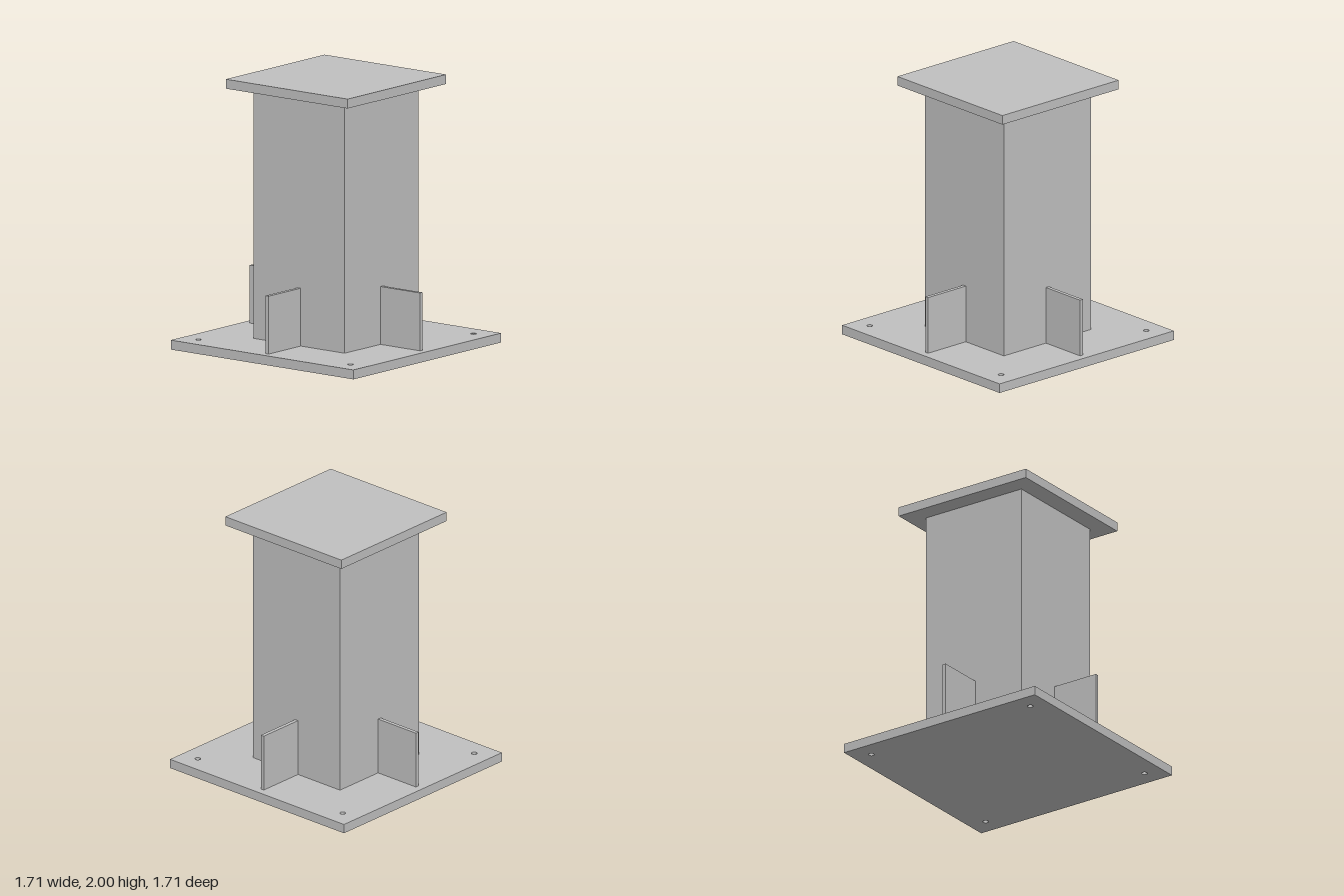
import * as THREE from 'three';

export function createModel() {
  const model = new THREE.Group();
  model.name = 'columnBase';
  const steel = new THREE.MeshStandardMaterial({ color: 0xc0c0c0 });
  steel.name = 'steelGrey';

  const PLATE = 0.07, HALF = 0.855, COLUMN = 0.427, HOLE = 0.712;

  function add(name, geometry, x = 0, y = 0, z = 0) {
    const mesh = new THREE.Mesh(geometry, steel);
    mesh.name = name;
    mesh.position.set(x, y, z);
    model.add(mesh);
    return mesh;
  }

  // Base plate with four bolt holes
  const outline = new THREE.Shape([
    new THREE.Vector2(-HALF, -HALF), new THREE.Vector2(HALF, -HALF),
    new THREE.Vector2(HALF, HALF), new THREE.Vector2(-HALF, HALF),
  ]);
  for (const sx of [-1, 1]) for (const sy of [-1, 1]) {
    outline.holes.push(new THREE.Path().absarc(sx * HOLE, sy * HOLE, 0.021, 0, Math.PI * 2, true));
  }
  const base = new THREE.ExtrudeGeometry(outline, { depth: PLATE, bevelEnabled: false, curveSegments: 24 });
  base.rotateX(-Math.PI / 2);
  add('basePlate', base);

  // Square column between the plates
  add('column', new THREE.BoxGeometry(COLUMN * 2, 2 - 2 * PLATE, COLUMN * 2), 0, 1, 0);

  // Cap plate
  add('capPlate', new THREE.BoxGeometry(1.14, PLATE, 1.14), 0, 2 - PLATE / 2, 0);

  // One stiffener on the middle of each column face
  const reach = 0.798 - COLUMN, height = 0.5 - PLATE;
  const stiffener = new THREE.BoxGeometry(reach, height, 0.029);
  stiffener.translate(COLUMN + reach / 2, PLATE + height / 2, 0);
  ['leftStiffener', 'backStiffener', 'rightStiffener', 'frontStiffener'].forEach((name, i) => {
    add(name, stiffener).rotation.y = i * Math.PI / 2;
  });

  return model;
}
